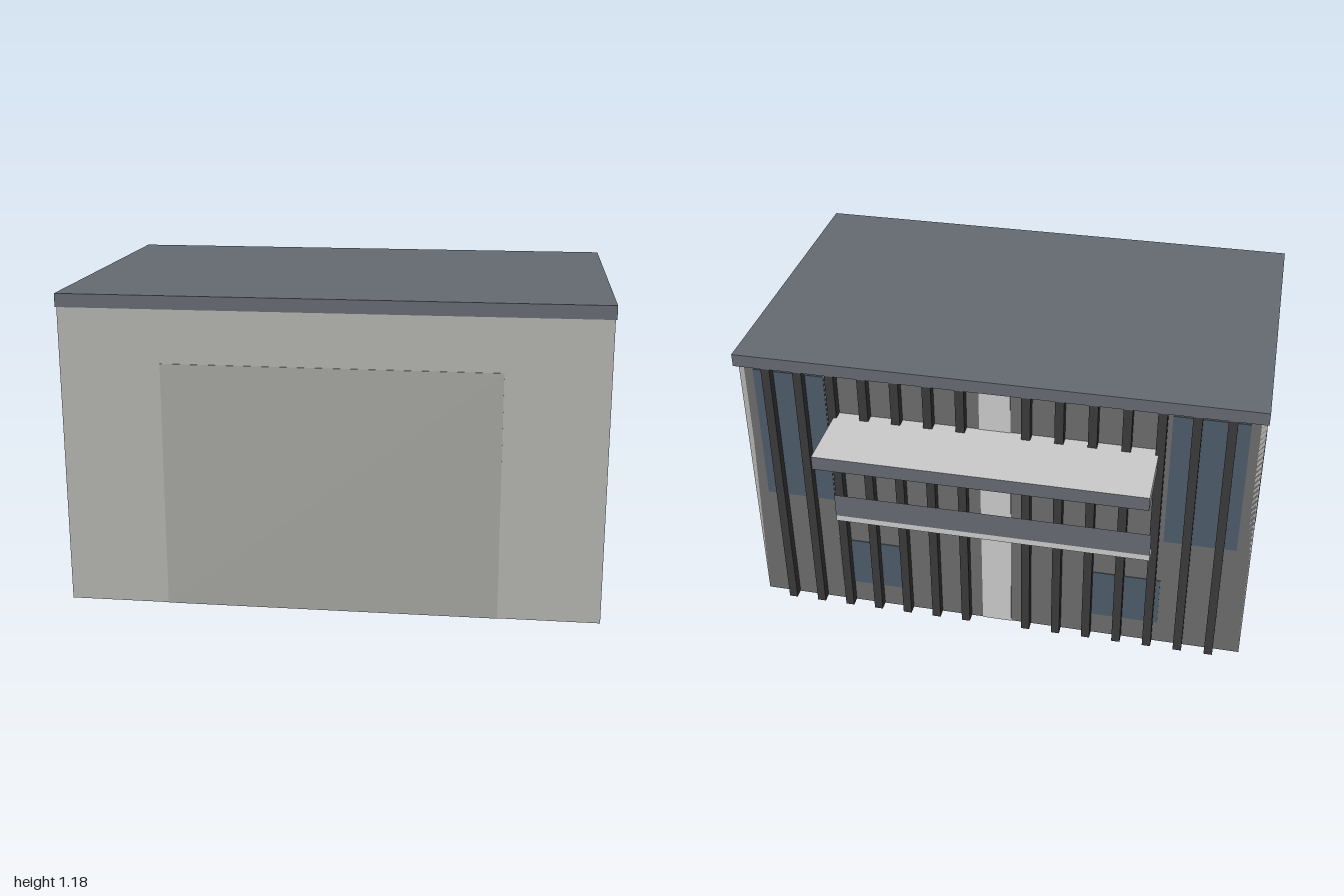
import * as THREE from 'three';

const material = (color) => new THREE.MeshStandardMaterial({ color, side: THREE.DoubleSide });
const GREY = material(0xcccccc);
const WALL = material(0xb4b4b0);
const DOOR = material(0xa6a6a2);
const SLATE = material(0x666b72);
const DARK = material(0x3a3b3c);
const BACK = material(0x6c6c6c);
const GLASS = material(0x4d5c6a);

export function createModel() {
  const group = new THREE.Group();

  // Box given by its extents along each axis
  const box = (name, mat, [x0, x1], [y0, y1], [z0, z1]) => {
    const mesh = new THREE.Mesh(new THREE.BoxGeometry(x1 - x0, y1 - y0, z1 - z0), mat);
    mesh.position.set((x0 + x1) / 2, (y0 + y1) / 2, (z0 + z1) / 2);
    mesh.name = name;
    group.add(mesh);
  };
  // Same box on both sides of the centre
  const pair = (name, mat, [x0, x1], y, z) => {
    box(name + 'Left', mat, [x0, x1], y, z);
    box(name + 'Right', mat, [-x1, -x0], y, z);
  };
  // Thin folded sheet with open ends, from a (z, y) section
  const sheet = (name, mat, halfWidth, section) => {
    const pos = [], index = [];
    section.slice(1).forEach(([z, y], i) => {
      const [pz, py] = section[i];
      pos.push(-halfWidth, py, pz, halfWidth, py, pz, halfWidth, y, z, -halfWidth, y, z);
      const b = i * 4;
      index.push(b, b + 1, b + 2, b, b + 2, b + 3);
    });
    const geo = new THREE.BufferGeometry();
    geo.setAttribute('position', new THREE.Float32BufferAttribute(pos, 3));
    geo.setIndex(index);
    geo.computeVertexNormals();
    const mesh = new THREE.Mesh(geo, mat);
    mesh.name = name;
    group.add(mesh);
  };

  // Flat roof overhanging the back
  box('roof', SLATE, [-1, 1], [1.13, 1.18], [-0.5, 0.76]);

  // Outer walls, open underneath
  pair('sideWall', WALL, [0.975, 0.995], [0, 1.13], [-0.46, 0.757]);
  box('frontWall', WALL, [-0.995, 0.995], [0, 1.13], [0.737, 0.757]);
  box('backWall', BACK, [-0.995, 0.995], [0, 1.13], [-0.46, -0.44]);

  // Inner room with its dark floor, and the front door panel
  pair('roomWall', GREY, [0.605, 0.62], [0.01, 0.94], [-0.44, 0.737]);
  box('roomCeiling', GREY, [-0.62, 0.62], [0.94, 0.955], [-0.44, 0.737]);
  box('roomFloor', DARK, [-0.62, 0.62], [0, 0.01], [-0.44, 0.737]);
  box('frontDoor', DOOR, [-0.62, 0.62], [0, 0.93], [0.757, 0.76]);

  // Blank panels on both sides
  pair('sidePanel', GREY, [0.995, 1], [0.54, 0.96], [-0.3, 0.62]);

  // Windows behind the slats
  pair('upperWindow', GLASS, [0.66, 0.94], [0.52, 1.1], [-0.463, -0.46]);
  pair('lowerWindow', GLASS, [0.38, 0.66], [0.1, 0.32], [-0.463, -0.46]);
  box('centreStrip', GREY, [-0.06, 0.06], [0, 1.13], [-0.463, -0.46]);

  // Vertical slats along the back, leaving the middle free
  for (let i = 1; i <= 7; i++) {
    const x = i * 0.125;
    pair('backSlat' + i, DARK, [x - 0.017, x + 0.017], [0, 1.13], [-0.498, -0.46]);
  }

  // Awning: flat top, front lip and underside
  sheet('awningTop', GREY, 0.62, [[-0.46, 0.945], [-0.76, 0.945]]);
  sheet('awningLip', SLATE, 0.62, [[-0.76, 0.945], [-0.76, 0.89]]);
  sheet('awningUnderside', BACK, 0.62, [[-0.76, 0.89], [-0.46, 0.89]]);

  // Counter board below the awning, with a pale lower edge
  sheet('counterBoard', SLATE, 0.62, [[-0.57, 0.63], [-0.57, 0.53]]);
  sheet('counterEdge', GREY, 0.62, [[-0.57, 0.53], [-0.57, 0.505], [-0.46, 0.505]]);

  return group;
}
